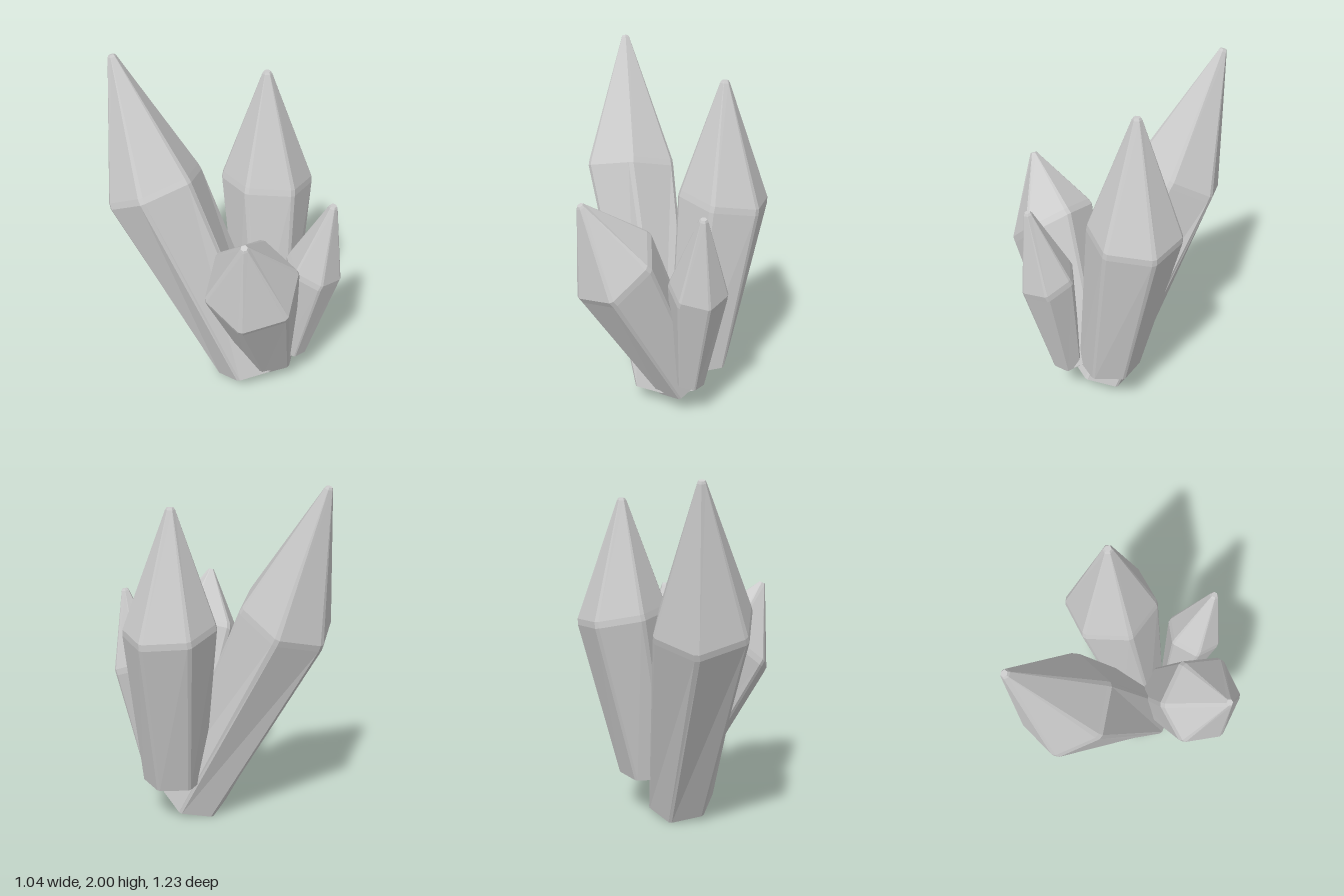
import * as THREE from 'three';

// The shafts are hollow and open underneath, so both sides show.
const material = new THREE.MeshStandardMaterial({
  color: 0xcccccc, flatShading: true, side: THREE.DoubleSide,
});
const SIDES = 6;
const BEVEL = 0.05; // half-angle of the narrow strip along each long edge

// Six-sided ring with chamfered corners, perpendicular to the normal.
function ring(center, normal, corner, radius) {
  const u = corner.clone().addScaledVector(normal, -corner.dot(normal)).normalize();
  const w = normal.clone().cross(u);
  const points = [];
  for (let i = 0; i < SIDES; i++) {
    for (const s of [-1, 1]) {
      const a = (i * 2 * Math.PI) / SIDES + s * BEVEL;
      points.push(center.clone()
        .addScaledVector(u, radius * Math.cos(a))
        .addScaledVector(w, radius * Math.sin(a)));
    }
  }
  return points;
}

// Skin a stack of rings and close the top with a fan.
function loft(rings) {
  const n = rings[0].length;
  const index = [];
  for (let r = 0; r < rings.length - 1; r++) {
    for (let i = 0; i < n; i++) {
      const a = r * n + i, b = r * n + ((i + 1) % n);
      index.push(a, b, b + n, a, b + n, a + n);
    }
  }
  const top = (rings.length - 1) * n;
  for (let i = 1; i < n - 1; i++) index.push(top, top + i, top + i + 1);
  const indexed = new THREE.BufferGeometry().setFromPoints(rings.flat());
  indexed.setIndex(index);
  const geometry = indexed.toNonIndexed();
  geometry.computeVertexNormals();
  return geometry;
}

const vec = (p) => new THREE.Vector3(...p);

// Tapered shaft widening to a shoulder, then a long point with a blunt tip.
// Base and shoulder each have a centre, a normal, a corner direction and a radius.
function crystal({ name, base, shoulder, tip }) {
  const s = vec(shoulder.at), t = vec(tip.at);
  const shoulderNormal = vec(shoulder.normal).normalize();
  const shoulderCorner = vec(shoulder.corner);
  const point = t.clone().sub(s).normalize();
  const mesh = new THREE.Mesh(loft([
    ring(vec(base.at), vec(base.normal).normalize(), vec(base.corner), base.radius),
    ring(s.clone().addScaledVector(shoulderNormal, -0.018), shoulderNormal, shoulderCorner, shoulder.radius),
    ring(s.clone().addScaledVector(shoulderNormal, 0.018), shoulderNormal, shoulderCorner, shoulder.radius * 0.98),
    ring(t.clone().addScaledVector(point, -0.012), point, shoulderCorner, tip.radius),
    ring(t, point, shoulderCorner, tip.radius * 0.7),
  ]), material);
  mesh.name = name;
  return mesh;
}

export function createModel() {
  const group = new THREE.Group();
  group.name = 'crystalCluster';
  const crystals = [
    {
      name: 'tallBackCrystal',
      base: { at: [-0.055, 0.072, 0.13], normal: [0.05, 1, -0.37], corner: [-0.03, 0.075, 0.2], radius: 0.197 },
      shoulder: { at: [-0.27, 1.28, -0.38], normal: [0, 1, -0.54], corner: [0.015, 0.13, 0.25], radius: 0.275 },
      tip: { at: [-0.298, 2.0, -0.612], radius: 0.024 },
    },
    {
      name: 'leftCrystal',
      base: { at: [0.135, 0.26, 0.105], normal: [0, 1, 0], corner: [0.25, 0, -0.08], radius: 0.18 },
      shoulder: { at: [0.262, 1.24, -0.015], normal: [0.16, 1, -0.04], corner: [0.25, -0.04, -0.055], radius: 0.257 },
      tip: { at: [0.252, 1.89, -0.025], radius: 0.026 },
    },
    {
      name: 'leaningRightCrystal',
      base: { at: [0.02, 0.21, 0.225], normal: [-0.65, 1, 0.43], corner: [0, -0.07, 0.16], radius: 0.163 },
      shoulder: { at: [-0.33, 1.0, 0.365], normal: [-0.7, 1, 0.47], corner: [0.01, -0.11, 0.25], radius: 0.255 },
      tip: { at: [-0.483, 1.38, 0.438], radius: 0.025 },
    },
    {
      name: 'smallFrontCrystal',
      base: { at: [0.07, 0.255, 0.352], normal: [0.17, 1, 0], corner: [0.145, 0, 0.02], radius: 0.088 },
      shoulder: { at: [0.113, 0.9, 0.447], normal: [0.17, 1, 0.35], corner: [0.145, -0.02, 0.02], radius: 0.16 },
      tip: { at: [0.132, 1.345, 0.53], radius: 0.024 },
    },
  ];
  for (const c of crystals) group.add(crystal(c));
  return group;
}
